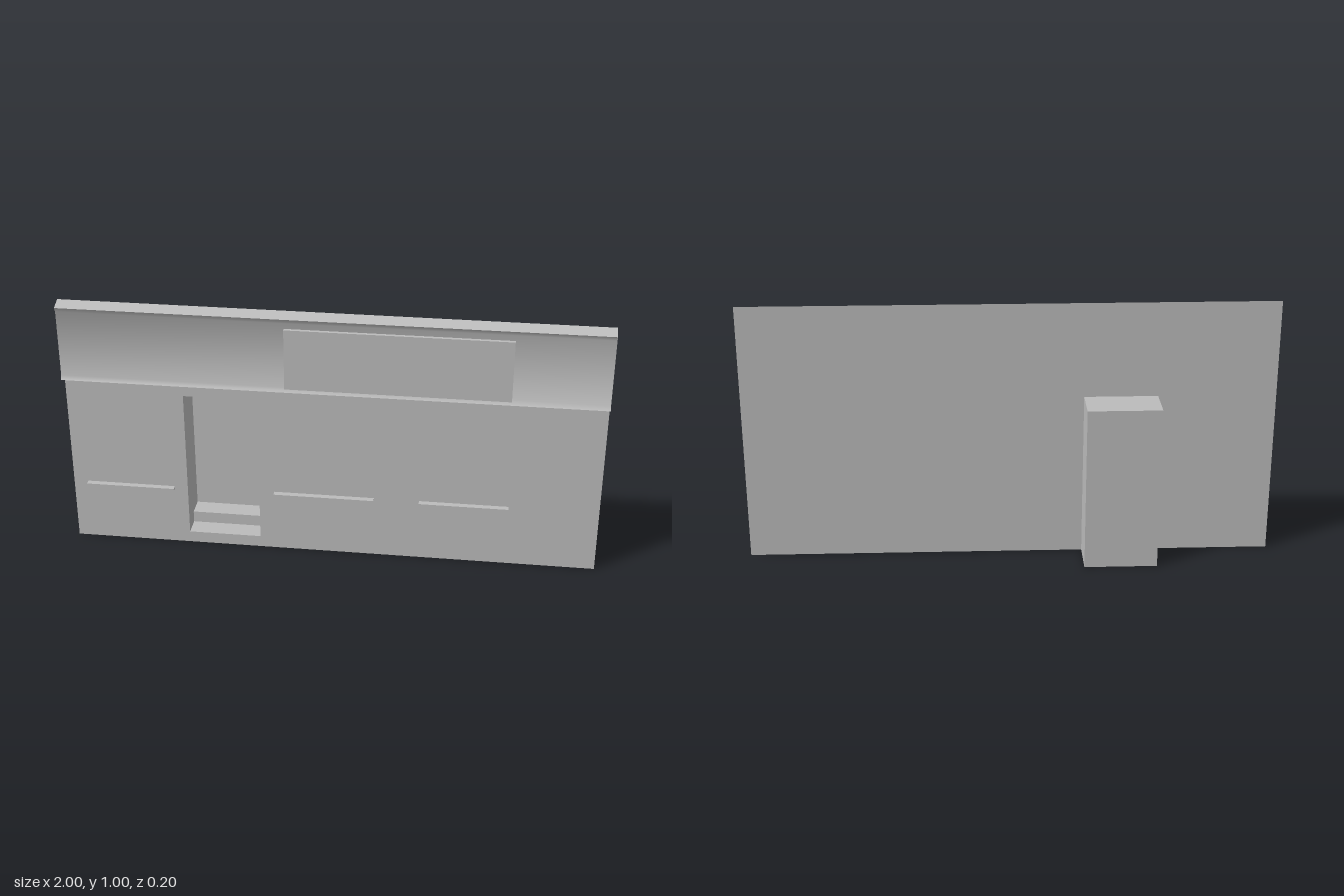
import * as THREE from 'three';
import { toCreasedNormals } from 'three/addons/utils/BufferGeometryUtils.js';

const grey = new THREE.MeshStandardMaterial({ color: 0xbcbcbc, side: THREE.DoubleSide });
grey.name = 'plain grey';

const WALL_Z = 0.05, BACK_Z = -0.1;
const DOOR = { left: -0.555, right: -0.278, top: 0.635 };

function add(parent, name, geometry, x = 0, y = 0, z = 0) {
  const mesh = new THREE.Mesh(geometry, grey);
  mesh.name = name;
  mesh.position.set(x, y, z);
  parent.add(mesh);
  return mesh;
}

function block(parent, name, x0, x1, y0, y1, z0, z1) {
  return add(parent, name, new THREE.BoxGeometry(x1 - x0, y1 - y0, z1 - z0),
    (x0 + x1) / 2, (y0 + y1) / 2, (z0 + z1) / 2);
}

export function createModel() {
  const model = new THREE.Group();
  model.name = 'shopfront';

  // Thin facade sheet, notched for the doorway
  const outline = [[-1, 0], [DOOR.left, 0], [DOOR.left, DOOR.top], [DOOR.right, DOOR.top],
    [DOOR.right, 0], [1, 0], [1, 1], [-1, 1]].map(([x, y]) => new THREE.Vector2(x, y));
  add(model, 'facade', new THREE.ShapeGeometry(new THREE.Shape(outline)), 0, 0, WALL_Z);

  // Doorway recess: open at the front and underneath
  const recess = new THREE.Group();
  recess.name = 'doorway';
  model.add(recess);
  const width = DOOR.right - DOOR.left, depth = WALL_Z - BACK_Z;
  const midX = (DOOR.left + DOOR.right) / 2, midZ = (WALL_Z + BACK_Z) / 2;
  add(recess, 'doorBack', new THREE.PlaneGeometry(width, DOOR.top), midX, DOOR.top / 2, BACK_Z);
  for (const [name, x, turn] of [['rightJamb', DOOR.left, 1], ['leftJamb', DOOR.right, -1]]) {
    add(recess, name, new THREE.PlaneGeometry(depth, DOOR.top).rotateY(turn * Math.PI / 2),
      x, DOOR.top / 2, midZ);
  }
  add(recess, 'doorCeiling', new THREE.PlaneGeometry(width, depth).rotateX(Math.PI / 2),
    midX, DOOR.top, midZ);

  // Two hollow steps filling the foot of the doorway
  const rise = 0.045, run = depth / 2;
  for (let i = 0; i < 2; i++) {
    const front = WALL_Z - i * run;
    add(recess, 'riser', new THREE.PlaneGeometry(width, rise), midX, (i + 0.5) * rise, front);
    add(recess, 'tread', new THREE.PlaneGeometry(width, run).rotateX(-Math.PI / 2),
      midX, (i + 1) * rise, front - run / 2);
  }

  // Narrow ledges across the facade
  for (const [x0, x1, y] of [[-0.945, -0.605, 0.241], [-0.22, 0.16, 0.245], [0.33, 0.665, 0.245]]) {
    block(model, 'ledge', x0, x1, y - 0.004, y + 0.004, WALL_Z, 0.072);
  }

  // Fascia with a hollowed front; profile points are (z, y)
  const profile = [[0.05, 0.684], [0.097, 0.697], [0.087, 0.713], [0.087, 0.967],
    [0.097, 0.985], [0.05, 1]].map(([z, y]) => new THREE.Vector2(-z, y));
  const fascia = new THREE.ExtrudeGeometry(new THREE.Shape(profile),
    { depth: 2, bevelEnabled: false });
  fascia.rotateY(Math.PI / 2).translate(-1, 0, 0);
  add(model, 'fascia', toCreasedNormals(fascia, 0.9));

  // Blank sign panel
  block(model, 'signPanel', -0.167, 0.652, 0.712, 0.946, 0.08, 0.1);

  return model;
}
